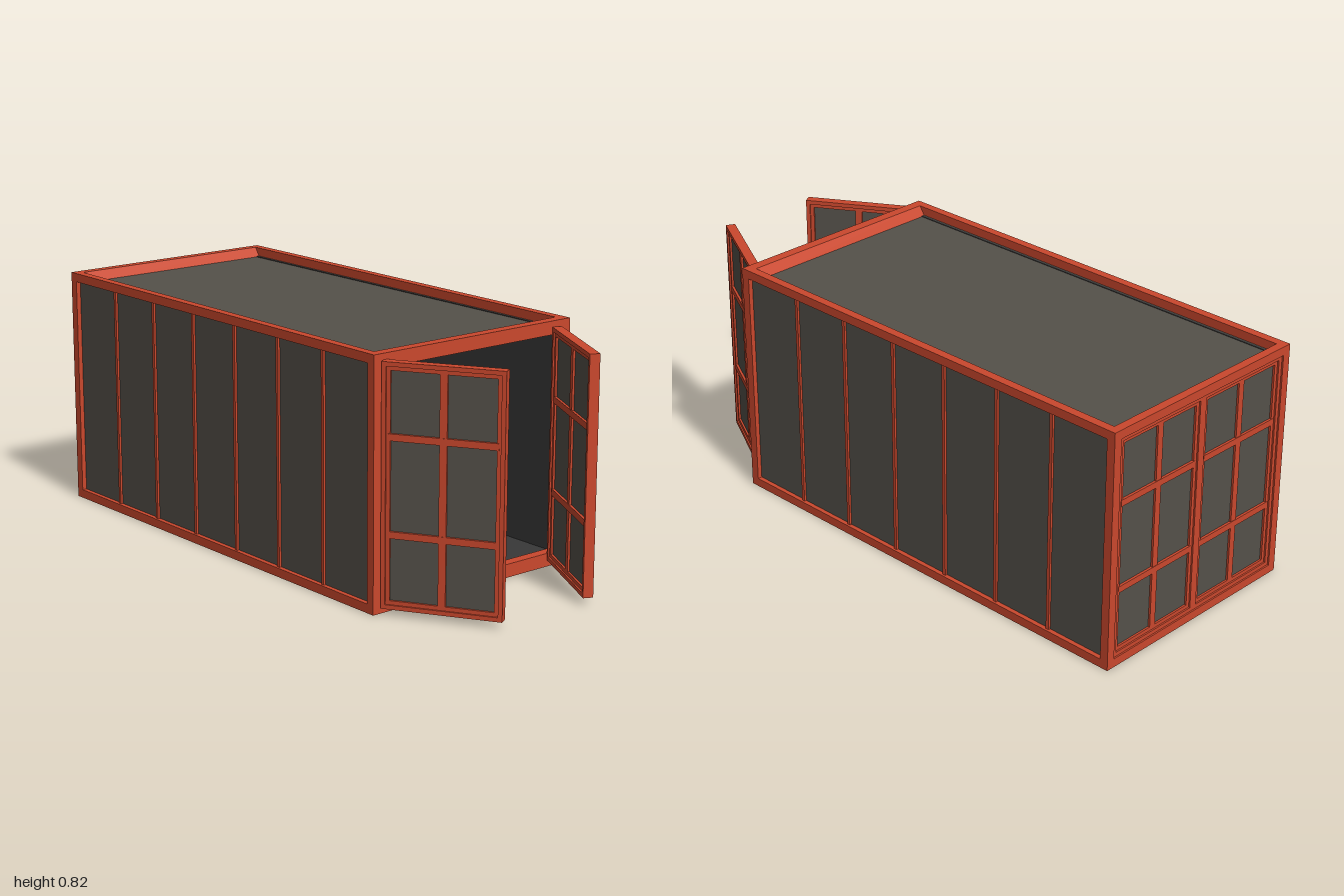
import * as THREE from 'three';

const W = 0.82, H = 0.82, BACK = -1, FRONT = 0.645, RAIL = 0.03;
const LEN = FRONT - BACK, MID = (FRONT + BACK) / 2;

const mat = (name, color) => new THREE.MeshStandardMaterial({ name, color });

export function createModel() {
  const red = mat('red frame', 0xcb482d);
  const grey = mat('warm grey panel', 0x55514a);
  const dark = mat('dark lining', 0x383838);
  const model = new THREE.Group();
  model.name = 'container';

  // box given by its minimum and maximum corners
  const box = (parent, name, material, x0, x1, y0, y1, z0, z1) => {
    const mesh = new THREE.Mesh(new THREE.BoxGeometry(x1 - x0, y1 - y0, z1 - z0), material);
    mesh.position.set((x0 + x1) / 2, (y0 + y1) / 2, (z0 + z1) / 2);
    mesh.name = name;
    parent.add(mesh);
    return mesh;
  };

  // outer frame: long rails, corner posts, cross beams
  const frame = new THREE.Group();
  frame.name = 'frame';
  model.add(frame);
  const hw = W / 2;
  for (const s of [-1, 1]) {
    const side = (name, wide, y0, y1, z0, z1) => {
      const a = s * hw, b = s * (hw - wide);
      box(frame, name, red, Math.min(a, b), Math.max(a, b), y0, y1, z0, z1);
    };
    side('bottomRail', RAIL, 0, RAIL, BACK, FRONT);
    side('topRail', RAIL, H - RAIL, H, BACK, FRONT);
    side('backPost', RAIL, RAIL, H - RAIL, BACK, BACK + RAIL);
    side('frontPost', 0.045, RAIL, H - RAIL, FRONT - RAIL, FRONT);
  }
  const inner = hw - RAIL;
  for (const top of [false, true]) {
    const beam = (name, tall, z0, z1) =>
      box(frame, name, red, -inner, inner, top ? H - tall : 0, top ? H : tall, z0, z1);
    beam('backBeam', RAIL, BACK, BACK + RAIL);
    beam('frontBeam', 0.045, FRONT - 0.036, FRONT);

    // sloped lips leading from the cross beams to the recessed roof and floor
    for (const [z, dir] of [[BACK + RAIL, 1], [FRONT - 0.036, -1]]) {
      const y = top ? H : 0, yIn = top ? H - 0.036 : 0.036;
      const shape = new THREE.Shape([
        new THREE.Vector2(-z, y),
        new THREE.Vector2(-z, yIn),
        new THREE.Vector2(-(z + dir * 0.024), yIn),
      ]);
      const geo = new THREE.ExtrudeGeometry(shape, { depth: inner * 2, bevelEnabled: false });
      geo.rotateY(Math.PI / 2).translate(-inner, 0, 0);
      const lip = new THREE.Mesh(geo, red);
      lip.name = 'slopedLip';
      frame.add(lip);
    }
  }

  // recessed roof, floor and inner lining
  box(model, 'roof', grey, -inner, inner, 0.782, 0.788, BACK + RAIL, FRONT - RAIL);
  box(model, 'ceiling', dark, -inner, inner, 0.776, 0.782, BACK + RAIL, FRONT - 0.036);
  box(model, 'floor', dark, -inner, inner, 0.032, 0.042, BACK + RAIL, FRONT - 0.036);
  box(model, 'backLining', dark, -inner, inner, 0.04, 0.78, -0.957, -0.95);

  // side walls: seven recessed panels separated by narrow ribs
  const ribStep = (LEN - RAIL * 2) / 7;
  for (const s of [-1, 1]) {
    const wall = new THREE.Group();
    wall.name = s > 0 ? 'leftWall' : 'rightWall';
    model.add(wall);
    const slab = (name, m, xIn, xOut, z0, z1) => {
      const a = s * xIn, b = s * xOut;
      box(wall, name, m, Math.min(a, b), Math.max(a, b), RAIL, H - RAIL, z0, z1);
    };
    slab('lining', dark, 0.368, 0.376, BACK + RAIL, FRONT - RAIL);
    slab('panel', grey, 0.376, 0.394, BACK + RAIL, FRONT - RAIL);
    for (let i = 1; i < 7; i++) {
      const z = BACK + RAIL + i * ribStep;
      slab('rib', red, 0.39, 0.402, z - 0.006, z + 0.006);
    }
  }

  // door with stepped rim and a two by three grid of panes, hinged at x = 0
  const makeDoor = (name, w, h) => {
    const door = new THREE.Group();
    door.name = name;
    const ring = (part, from, to, depth) => {
      const rect = (P, d) => new P([[d, d], [w - d, d], [w - d, h - d], [d, h - d]]
        .map(([x, y]) => new THREE.Vector2(x, y)));
      const shape = rect(THREE.Shape, from);
      shape.holes.push(rect(THREE.Path, to));
      const geo = new THREE.ExtrudeGeometry(shape, { depth, bevelEnabled: false });
      const mesh = new THREE.Mesh(geo.translate(0, 0, -depth / 2), red);
      mesh.name = part;
      door.add(mesh);
    };
    ring('rim', 0, 0.014, 0.033);
    ring('innerRim', 0.014, 0.027, 0.022);
    box(door, 'panes', grey, 0.02, w - 0.02, 0.02, h - 0.02, -0.004, 0.004);
    box(door, 'upright', red, w / 2 - 0.012, w / 2 + 0.012, 0.02, h - 0.02, -0.011, 0.011);
    for (const t of [0.305, 0.7])
      box(door, 'crossbar', red, 0.02, w - 0.02, h * t - 0.011, h * t + 0.011, -0.0125, 0.0125);
    model.add(door);
    return door;
  };

  // closed back doors
  makeDoor('backDoorRight', inner, H - RAIL * 2).position.set(-inner, RAIL, -0.978);
  makeDoor('backDoorLeft', inner, H - RAIL * 2).position.set(0, RAIL, -0.978);

  // front doors swung open at slightly different angles
  const right = makeDoor('frontDoorRight', 0.386, 0.778);
  right.position.set(-0.377, 0.022, 0.648);
  right.rotation.y = -THREE.MathUtils.degToRad(58.8);
  const left = makeDoor('frontDoorLeft', 0.386, 0.778);
  left.position.set(0.348, 0.022, 0.65);
  left.rotation.y = -THREE.MathUtils.degToRad(117.5);

  return model;
}
